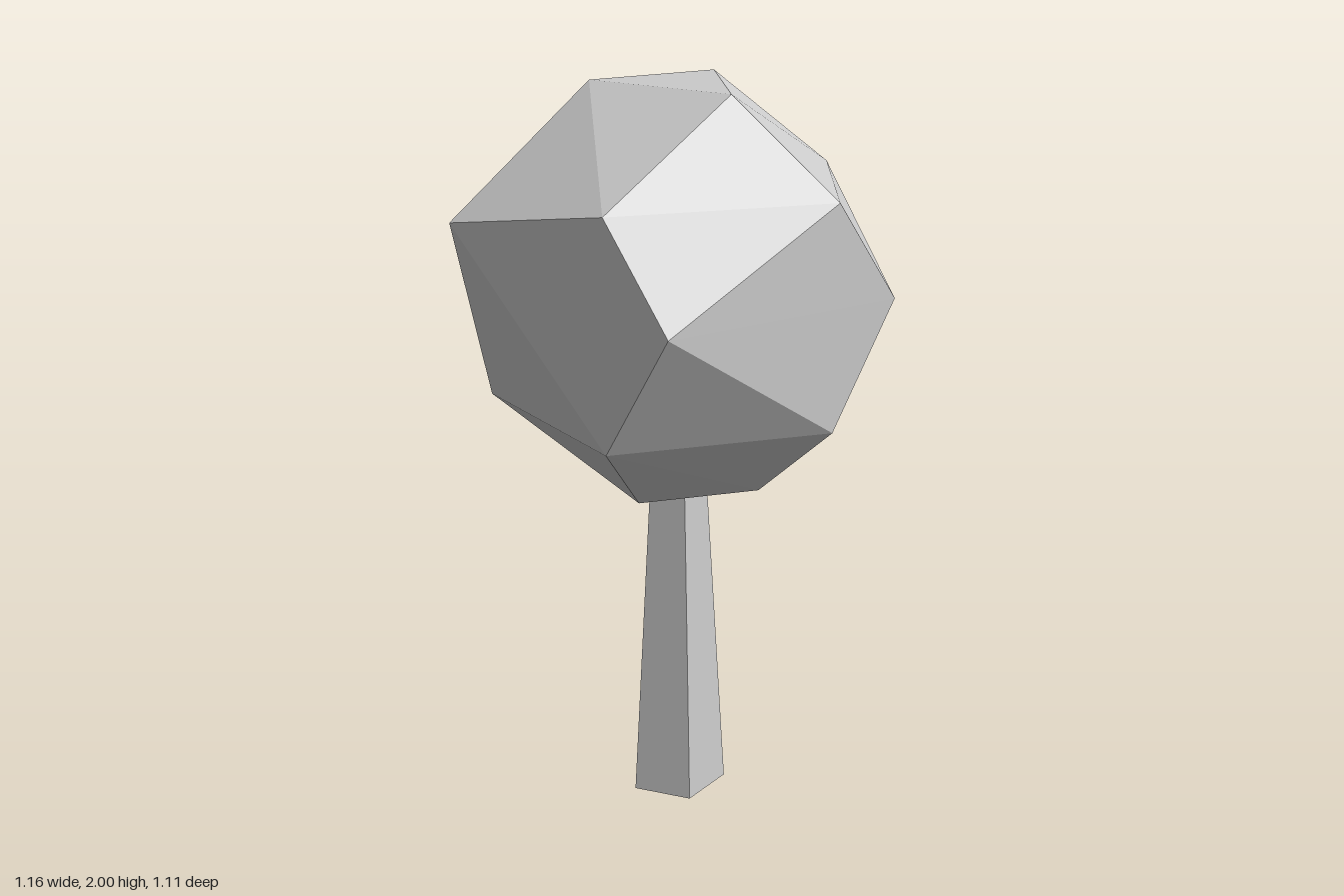
import * as THREE from 'three';
import { ConvexGeometry } from 'three/addons/geometries/ConvexGeometry.js';

// Irregular twenty-cornered crown, listed from the top ring to the bottom
const crownCorners = [
  // top cap
  [0.05, 2.0, -0.15], [0.19, 1.98, 0.135], [-0.235, 1.98, 0],
  // upper ring
  [0.29, 1.74, -0.4], [0.47, 1.74, 0.15], [0, 1.74, 0.495],
  [-0.5, 1.65, 0.29], [-0.325, 1.655, -0.445],
  // widest ring
  [0.18, 1.48, -0.555], [0.18, 1.48, 0.55], [0.58, 1.48, 0], [-0.58, 1.42, 0],
  // lower ring
  [0, 1.16, 0.495], [0.47, 1.16, 0.15], [-0.47, 1.16, 0.15], [0.29, 1.16, -0.4],
  [-0.13, 1.06, -0.4], [-0.4, 1.045, -0.155],
  // underside
  [-0.05, 0.9, 0.15], [0.235, 0.92, 0],
];

export function createModel() {
  const tree = new THREE.Group();
  tree.name = 'tree';
  const material = new THREE.MeshStandardMaterial({ color: 0xcccccc, flatShading: true });

  const crown = new THREE.Mesh(
    new ConvexGeometry(crownCorners.map((c) => new THREE.Vector3(...c))),
    material
  );
  crown.name = 'crown';

  // Five-sided tapered trunk, one corner pointing back, its top buried in the crown
  const height = 1.05;
  const trunk = new THREE.Mesh(new THREE.CylinderGeometry(0.076, 0.14, height, 5), material);
  trunk.name = 'trunk';
  trunk.position.y = height / 2;
  trunk.rotation.y = Math.PI;

  tree.add(crown, trunk);
  return tree;
}
